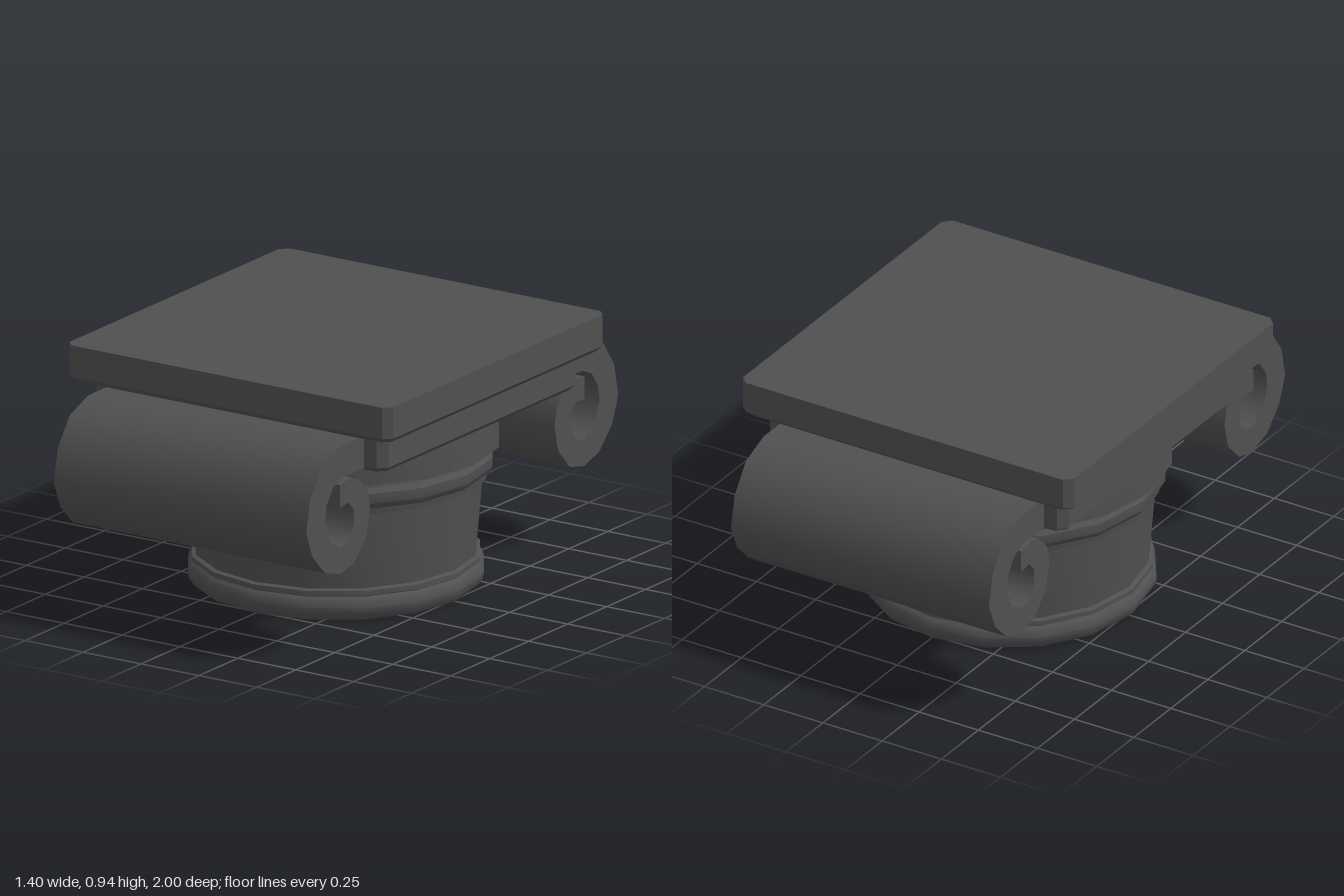
import * as THREE from 'three';
import { toCreasedNormals } from 'three/addons/utils/BufferGeometryUtils.js';
import { ConvexGeometry } from 'three/addons/geometries/ConvexGeometry.js';

const SIDES = 16;
const material = new THREE.MeshStandardMaterial({ color: 0x505050 });

function addMesh(parent, name, geometry) {
  const mesh = new THREE.Mesh(geometry, material);
  mesh.name = name;
  parent.add(mesh);
  return mesh;
}

// Square slab with cut vertical corners and a chamfered lower edge
function slab(half, bottom, top, cut, chamfer) {
  const points = [];
  const levels = [[half - chamfer, bottom], [half, bottom + chamfer], [half, top]];
  for (const [h, y] of levels) {
    for (const sx of [-1, 1]) {
      for (const sz of [-1, 1]) {
        points.push(new THREE.Vector3(sx * h, y, sz * (h - cut)));
        points.push(new THREE.Vector3(sx * (h - cut), y, sz * h));
      }
    }
  }
  return new ConvexGeometry(points);
}

// Turned body from a list of [radius, height] pairs, bottom to top
function turned(profile) {
  const points = profile.map(([r, y]) => new THREE.Vector2(r, y));
  return toCreasedNormals(new THREE.LatheGeometry(points, SIDES), 0.6);
}

// Scroll outline as [z, y]: outer curl inwards, then the inner curl back out
const scrollOutline = [
  [0.5, 0.79], [0.78, 0.79], [0.9, 0.745], [0.975, 0.64], [1.0, 0.52],
  [0.96, 0.42], [0.88, 0.34], [0.78, 0.31], [0.69, 0.33], [0.615, 0.41],
  [0.59, 0.51], [0.61, 0.585], [0.66, 0.635], [0.715, 0.655], [0.785, 0.645],
  [0.785, 0.56], [0.73, 0.565], [0.695, 0.53], [0.695, 0.47], [0.73, 0.42],
  [0.78, 0.41], [0.845, 0.45], [0.88, 0.53], [0.87, 0.59], [0.83, 0.645],
  [0.77, 0.67], [0.5, 0.67],
];

function scroll(halfWidth) {
  const shape = new THREE.Shape(scrollOutline.map(([z, y]) => new THREE.Vector2(z, y)));
  const geometry = new THREE.ExtrudeGeometry(shape, { depth: halfWidth * 2, bevelEnabled: false });
  geometry.rotateY(-Math.PI / 2);
  geometry.translate(halfWidth, 0, 0);
  return toCreasedNormals(geometry, 0.9);
}

export function createModel() {
  const model = new THREE.Group();
  model.name = 'columnCapital';

  // Rounded foot moulding with a thin fillet above it
  addMesh(model, 'footMoulding', turned([
    [0, 0], [0.515, 0], [0.535, 0.025], [0.54, 0.05], [0.533, 0.075], [0.52, 0.088],
    [0.526, 0.092], [0.526, 0.11], [0.505, 0.117],
  ]));

  // Flared neck
  addMesh(model, 'neck', turned([[0.509, 0.1], [0.535, 0.41]]));

  // Bead around the top of the neck
  addMesh(model, 'neckBead', turned([
    [0.53, 0.4], [0.548, 0.403], [0.552, 0.425], [0.558, 0.43],
    [0.571, 0.45], [0.571, 0.485], [0.555, 0.503], [0.55, 0.53],
  ]));

  // Drum under the slabs
  addMesh(model, 'drum', turned([[0.5, 0.525], [0.595, 0.525], [0.595, 0.66]]));

  // Two stacked square slabs
  addMesh(model, 'lowerSlab', slab(0.63, 0.657, 0.8, 0.03, 0.02));
  addMesh(model, 'topSlab', slab(0.7, 0.797, 0.935, 0.03, 0.02));

  // Scrolls front and back
  const scrollGeometry = scroll(0.545);
  addMesh(model, 'frontScroll', scrollGeometry);
  addMesh(model, 'backScroll', scrollGeometry).rotation.y = Math.PI;

  return model;
}
